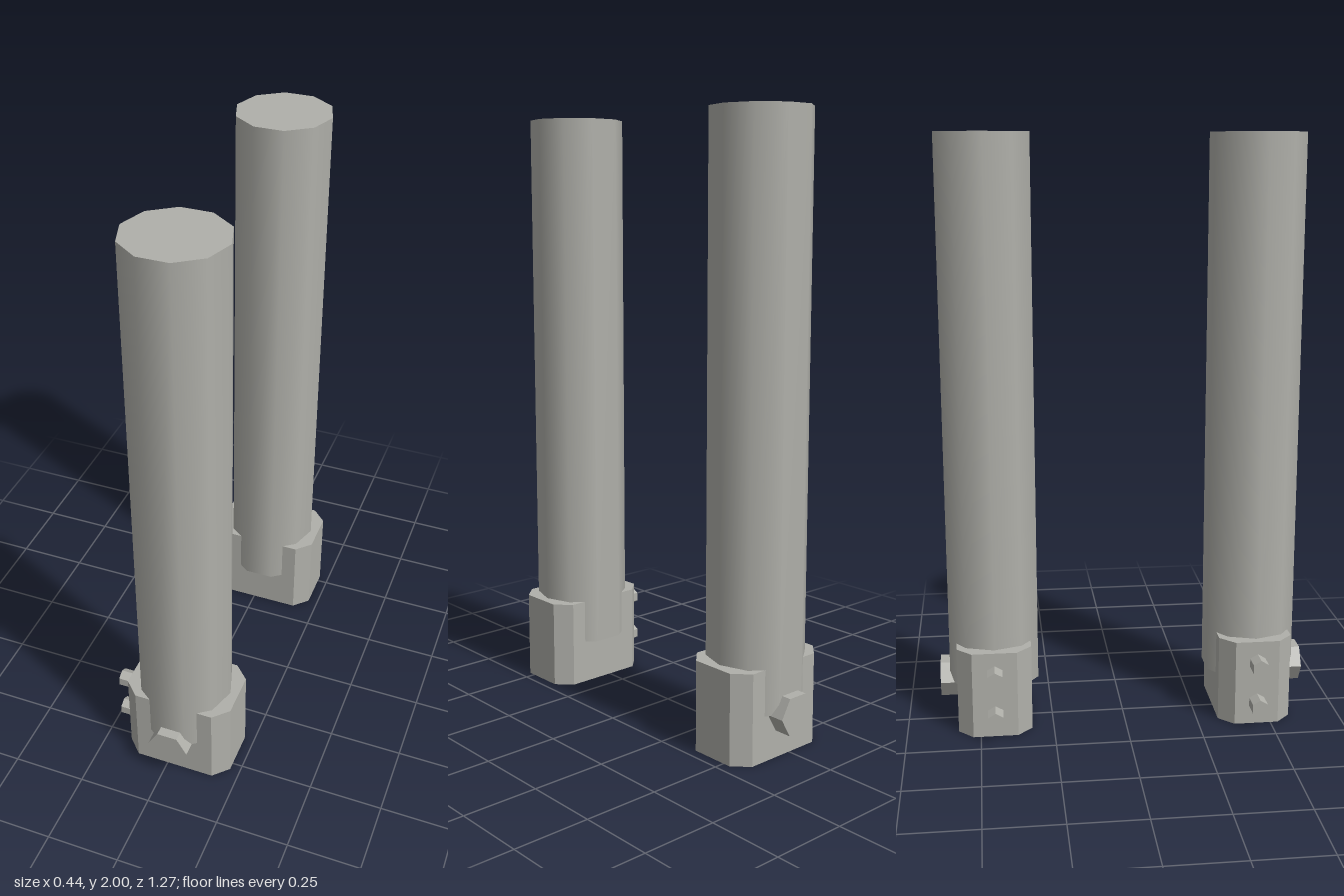
import * as THREE from 'three';

const CENTER_X = 0.027;

// Hexagonal prism along y with hard edges and corners on the x axis
function hexPrism(radius, length) {
  const g = new THREE.CylinderGeometry(radius, radius, length, 6, 1, false, Math.PI / 6).toNonIndexed();
  g.computeVertexNormals();
  return g;
}

// Block with cut corners standing on y = 0
function chamferedBlock(halfX, halfZ, cut, height) {
  const shape = new THREE.Shape([
    [halfX, -halfZ + cut], [halfX, halfZ - cut], [halfX - cut, halfZ], [-halfX + cut, halfZ],
    [-halfX, halfZ - cut], [-halfX, -halfZ + cut], [-halfX + cut, -halfZ], [halfX - cut, -halfZ],
  ].map(([x, y]) => new THREE.Vector2(x, y)));
  return new THREE.ExtrudeGeometry(shape, { depth: height, bevelEnabled: false }).rotateX(-Math.PI / 2);
}

export function createModel() {
  const model = new THREE.Group();
  model.name = 'postPair';
  const grey = new THREE.MeshStandardMaterial({ color: 0xb0b0aa });
  grey.name = 'warm grey';

  const add = (parent, name, geometry, x, y, z) => {
    const mesh = new THREE.Mesh(geometry, grey);
    mesh.name = name;
    mesh.position.set(x, y, z);
    parent.add(mesh);
  };

  // Two posts; the large bolt always faces outward along z
  for (const side of [1, -1]) {
    const post = new THREE.Group();
    post.name = side > 0 ? 'frontPost' : 'backPost';
    post.position.set(CENTER_X, 0, side * 0.45);

    // Ten-sided, smooth-shaded tube sunk halfway into the socket
    const tube = new THREE.CylinderGeometry(0.16, 0.16, 1.85, 10, 1, false, Math.PI / 10);
    add(post, 'tube', tube, 0, 1.075, 0);

    add(post, 'socket', chamferedBlock(0.188, 0.126, 0.05, 0.3), 0, 0, 0);

    // Outer pivot bolt
    add(post, 'pivotBolt', hexPrism(0.07, 0.085).rotateX(Math.PI / 2), 0, 0.15, side * 0.1425);

    // Two small bolts on the right face
    for (const y of [0.225, 0.08]) {
      add(post, 'sideBolt', hexPrism(0.03, 0.08).rotateZ(Math.PI / 2), -0.207, y, 0);
    }
    model.add(post);
  }
  return model;
}
